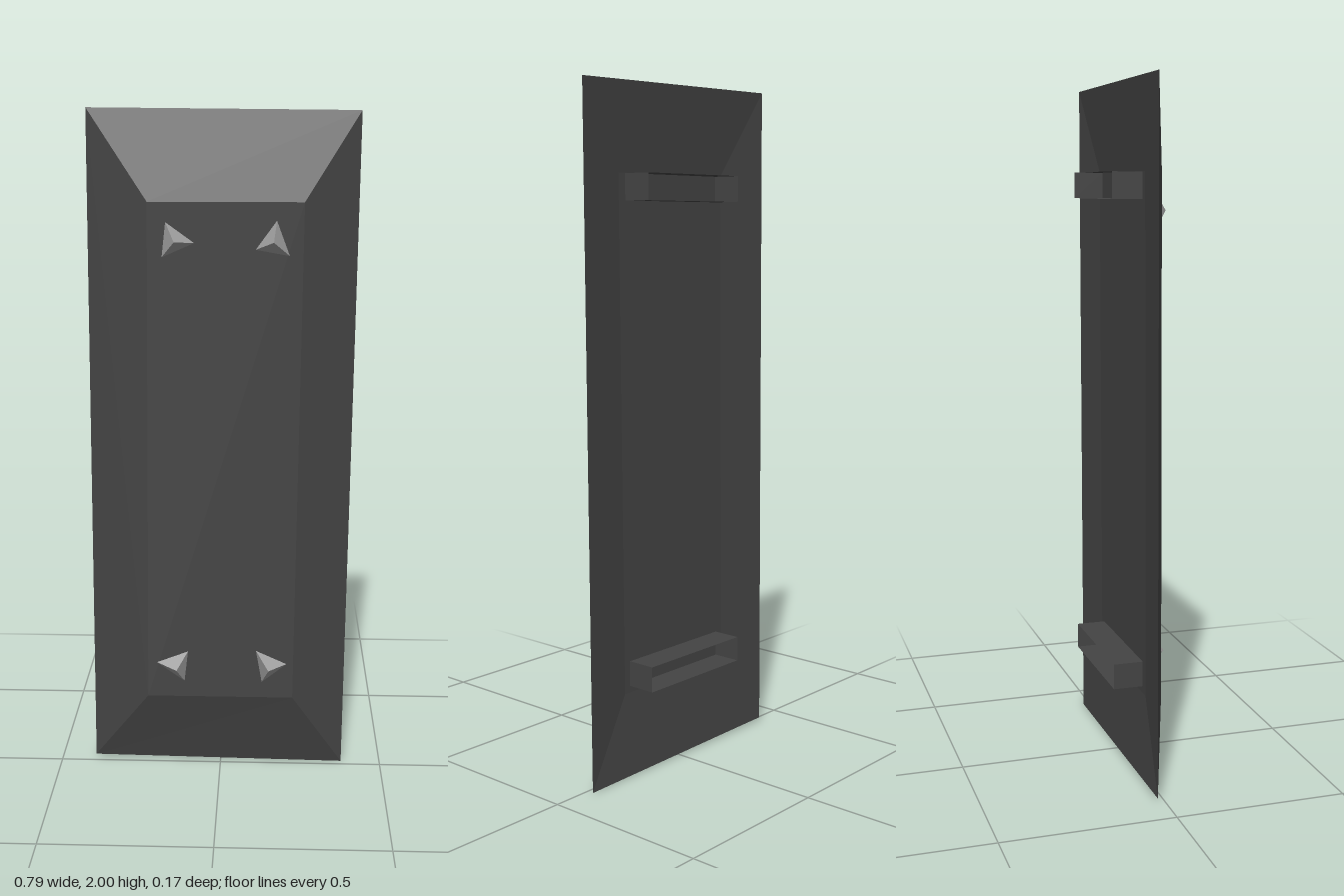
import * as THREE from 'three';

const shieldMat = new THREE.MeshStandardMaterial({ color: 0x444444, flatShading: true, side: THREE.DoubleSide });
const spikeMat = new THREE.MeshStandardMaterial({ color: 0x999999, flatShading: true, side: THREE.DoubleSide });

// Walls between a rear loop and a front loop (both counter-clockwise from the front), with an optional front cap
function skin(name, rear, rearZ, front, frontZ, capped) {
  const n = rear.length;
  const points = [...rear.map(([x, y]) => [x, y, rearZ]), ...front.map(([x, y]) => [x, y, frontZ])];
  const index = [];
  for (let i = 0; i < n; i++) {
    const j = (i + 1) % n;
    index.push(i, j, n + j, i, n + j, n + i);
  }
  if (capped) for (let i = 1; i < n - 1; i++) index.push(n, n + i, n + i + 1);
  const indexed = new THREE.BufferGeometry();
  indexed.setAttribute('position', new THREE.Float32BufferAttribute(points.flat(), 3));
  indexed.setIndex(index);
  const geometry = indexed.toNonIndexed();
  geometry.computeVertexNormals();
  const mesh = new THREE.Mesh(geometry, shieldMat);
  mesh.name = name;
  return mesh;
}

// Three-sided spike from a base triangle on the panel to a point
function spike(name, base, [x, y]) {
  const points = [...base.map(([bx, by]) => [bx, by, 0.048]), [x, y, 0.086]];
  const faces = [[0, 1, 3], [1, 2, 3], [2, 0, 3]];
  const geometry = new THREE.BufferGeometry();
  geometry.setAttribute('position',
    new THREE.Float32BufferAttribute(faces.flat().flatMap((i) => points[i]), 3));
  geometry.computeVertexNormals();
  const mesh = new THREE.Mesh(geometry, spikeMat);
  mesh.name = name;
  return mesh;
}

export function createModel() {
  const group = new THREE.Group();
  group.name = 'shield';

  // Plate: sloping borders around a raised panel in front, a shallower dish behind, meeting at the rim
  const rim = [[-0.394, 0.01], [0.379, 0], [0.394, 1.993], [-0.378, 2]];
  const panel = [[-0.22, 0.247], [0.222, 0.247], [0.237, 1.746], [-0.204, 1.746]];
  group.add(skin('frontPlate', rim, -0.02, panel, 0.048, true));
  group.add(skin('backDish', rim, -0.02, panel, 0, true));

  // Grips: rectangular frames standing off the dish, open at the rear
  for (const [name, x0, x1, y0, y1] of [
    ['upperGrip', -0.18, 0.21, 1.67, 1.745],
    ['lowerGrip', -0.193, 0.2, 0.267, 0.342],
  ]) {
    const loop = [[x0, y0], [x1, y0], [x1, y1], [x0, y1]];
    group.add(skin(name, loop, -0.087, loop, 0, false));
  }

  // Four small spikes, each turned differently
  group.add(
    spike('upperRightSpike', [[-0.164, 1.592], [-0.072, 1.632], [-0.153, 1.69]], [-0.127, 1.638]),
    spike('upperLeftSpike', [[0.101, 1.614], [0.197, 1.597], [0.16, 1.695]], [0.152, 1.638]),
    spike('lowerRightSpike', [[-0.192, 0.358], [-0.108, 0.298], [-0.097, 0.395]], [-0.13, 0.347]),
    spike('lowerLeftSpike', [[0.128, 0.298], [0.203, 0.358], [0.11, 0.4]], [0.148, 0.35]),
  );
  return group;
}
